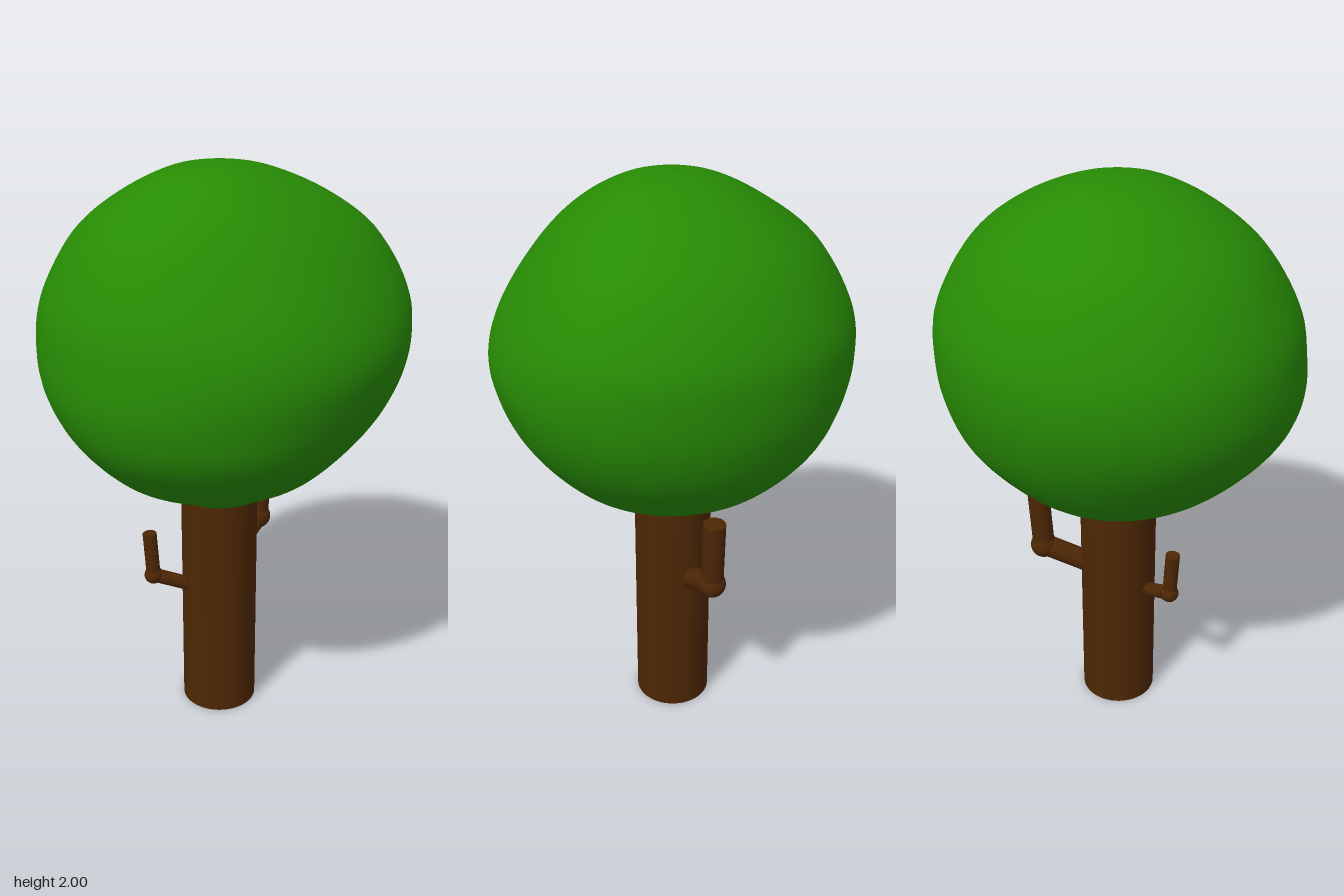
import * as THREE from 'three';

const BARK = new THREE.MeshStandardMaterial({ color: 0x4d2704 });
const LEAF = new THREE.MeshStandardMaterial({ color: 0x278b04 });

// Crown levels: height, then radius at eight bearings from +x through +z
const LEVELS = [
  [2.0, 0, 0, 0, 0, 0, 0, 0, 0],
  [1.979, 0.145, 0.145, 0.15, 0.155, 0.155, 0.155, 0.155, 0.155],
  [1.9, 0.295, 0.295, 0.315, 0.325, 0.315, 0.32, 0.335, 0.345],
  [1.78, 0.43, 0.42, 0.46, 0.47, 0.47, 0.47, 0.485, 0.51],
  [1.6, 0.55, 0.54, 0.57, 0.575, 0.575, 0.58, 0.59, 0.62],
  [1.45, 0.598, 0.585, 0.605, 0.605, 0.602, 0.602, 0.608, 0.637],
  [1.3, 0.572, 0.578, 0.608, 0.59, 0.575, 0.58, 0.59, 0.608],
  [1.15, 0.5, 0.53, 0.55, 0.515, 0.5, 0.515, 0.525, 0.525],
  [1.0, 0.37, 0.39, 0.405, 0.385, 0.385, 0.38, 0.38, 0.375],
  [0.925, 0.24, 0.25, 0.26, 0.25, 0.26, 0.245, 0.24, 0.24],
  [0.88, 0.18, 0.18, 0.185, 0.185, 0.195, 0.185, 0.185, 0.18],
  [0.858, 0.13, 0.13, 0.13, 0.13, 0.13, 0.13, 0.13, 0.13],
  [0.858, 0, 0, 0, 0, 0, 0, 0, 0],
];

function crownGeometry(rows = 72, cols = 72) {
  // One smooth meridian per bearing, blended around the crown
  const meridians = Array.from({ length: 8 }, (_, k) => new THREE.CatmullRomCurve3(
    LEVELS.map((l) => new THREE.Vector3(l[k + 1], l[0], 0)), false, 'catmullrom', 0.5));
  const pos = [];
  const index = [];
  for (let i = 0; i <= rows; i++) {
    const ring = new THREE.CatmullRomCurve3(
      meridians.map((m) => m.getPoint(i / rows)), true, 'catmullrom', 0.5);
    for (let j = 0; j < cols; j++) {
      const p = ring.getPoint(j / cols);
      const a = (j / cols) * Math.PI * 2;
      pos.push(p.x * Math.cos(a), p.y, p.x * Math.sin(a));
    }
  }
  for (let i = 0; i < rows; i++) {
    for (let j = 0; j < cols; j++) {
      const a = i * cols + j;
      const b = i * cols + ((j + 1) % cols);
      if (i > 0) index.push(a, b, a + cols);
      if (i < rows - 1) index.push(b, b + cols, a + cols);
    }
  }
  const geo = new THREE.BufferGeometry();
  geo.setAttribute('position', new THREE.Float32BufferAttribute(pos, 3));
  geo.setIndex(index);
  geo.computeVertexNormals();
  return geo;
}

function part(parent, name, geometry, material) {
  const mesh = new THREE.Mesh(geometry, material);
  mesh.name = name;
  parent.add(mesh);
  return mesh;
}

// Round rod between two points
function rod(parent, name, from, to, radius) {
  const dir = to.clone().sub(from);
  const mesh = part(parent, name, new THREE.CylinderGeometry(radius, radius, dir.length(), 24), BARK);
  mesh.position.copy(from).addScaledVector(dir, 0.5);
  mesh.quaternion.setFromUnitVectors(new THREE.Vector3(0, 1, 0), dir.normalize());
}

// Bent branch: sloping arm, knuckle and upright twig
function branch(parent, name, points, radius, knuckleRadius) {
  const [base, bend, tip] = points.map((p) => new THREE.Vector3(...p));
  const group = new THREE.Group();
  group.name = name;
  rod(group, 'branchArm', base, bend, radius);
  part(group, 'branchKnuckle', new THREE.SphereGeometry(knuckleRadius, 24, 16), BARK).position.copy(bend);
  rod(group, 'branchTwig', bend, tip, radius);
  parent.add(group);
}

export function createModel() {
  const tree = new THREE.Group();
  tree.name = 'tree';

  const trunk = part(tree, 'trunk', new THREE.CylinderGeometry(0.136, 0.136, 0.88, 48), BARK);
  trunk.position.set(-0.009, 0.44, -0.007);

  part(tree, 'crown', crownGeometry(), LEAF);

  branch(tree, 'frontBranch', [[-0.075, 0.5, 0.1], [-0.157, 0.55, 0.192], [-0.163, 0.72, 0.201]], 0.025, 0.033);
  branch(tree, 'backBranch', [[-0.02, 0.56, -0.1], [-0.027, 0.637, -0.28], [-0.023, 0.89, -0.295]], 0.039, 0.048);
  return tree;
}
